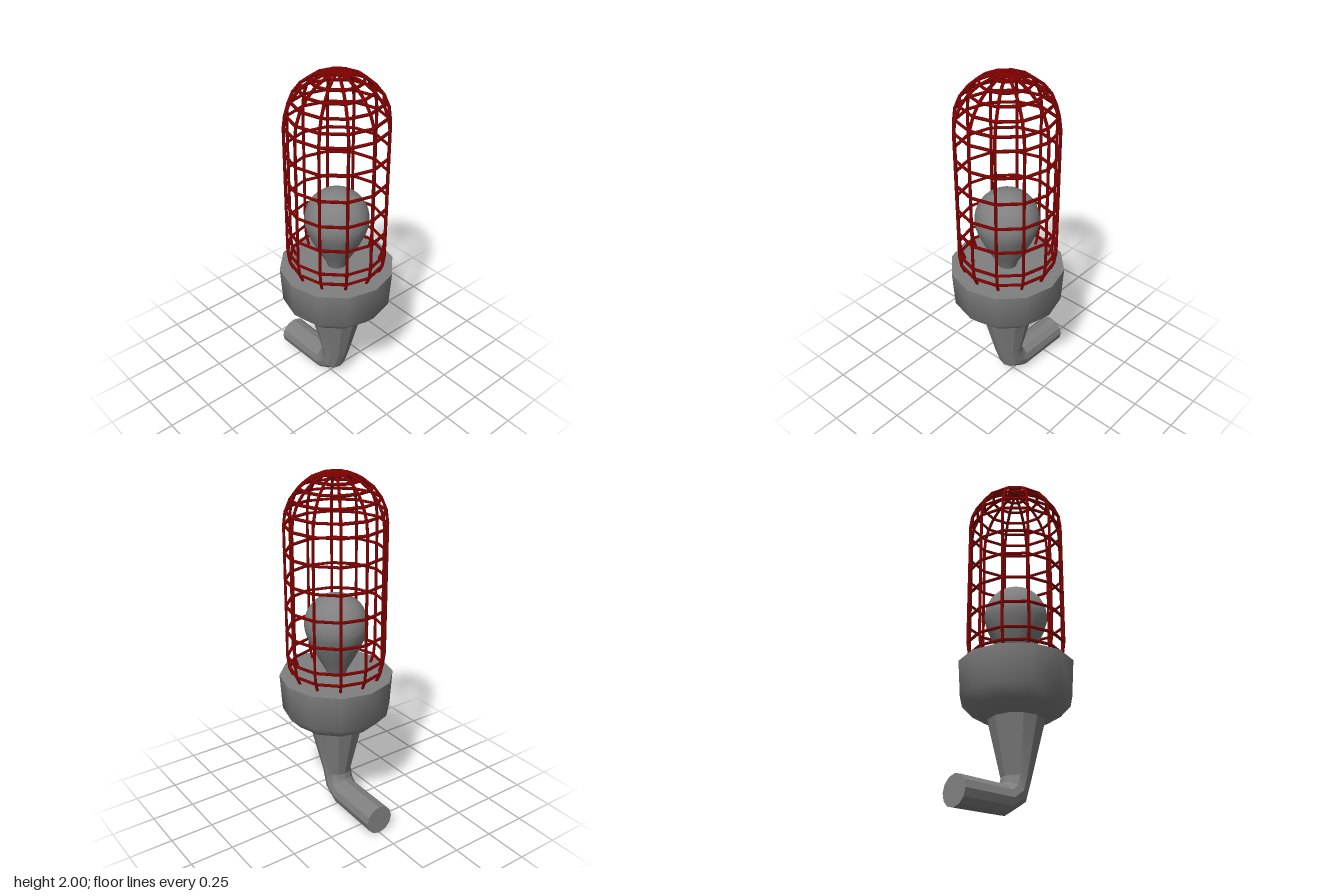
import * as THREE from 'three';
import { mergeGeometries, toCreasedNormals } from 'three/addons/utils/BufferGeometryUtils.js';

const SIDES = 12;
const grey = new THREE.MeshStandardMaterial({ color: 0x808080 });
const red = new THREE.MeshStandardMaterial({ color: 0x800000 });

function addMesh(parent, name, geometry, material = grey) {
  const mesh = new THREE.Mesh(geometry, material);
  mesh.name = name;
  parent.add(mesh);
}

function lathe(profile, segments) {
  return new THREE.LatheGeometry(profile.map(([r, y]) => new THREE.Vector2(r, y)), segments);
}

// Bent, faceted arm skinned over rings, each given by its inner and outer point in the xy plane
function armGeometry(rings) {
  const pos = [], index = [];
  for (const [ix, iy, ox, oy] of rings) {
    const cx = (ix + ox) / 2, cy = (iy + oy) / 2;
    const depth = Math.max(0.083, Math.hypot(ox - ix, oy - iy) / 2);
    for (let j = 0; j < SIDES; j++) {
      const a = (j / SIDES) * Math.PI * 2;
      pos.push(cx + Math.cos(a) * (ox - cx), cy + Math.cos(a) * (oy - cy), -Math.sin(a) * depth);
    }
  }
  const centre = pos.length / 3;
  pos.push((rings[0][0] + rings[0][2]) / 2, (rings[0][1] + rings[0][3]) / 2, 0);
  for (let j = 0; j < SIDES; j++) {
    const k = (j + 1) % SIDES;
    index.push(centre, k, j);
    for (let i = 0; i < rings.length - 1; i++) {
      const a = i * SIDES, b = a + SIDES;
      index.push(a + j, a + k, b + j, a + k, b + k, b + j);
    }
  }
  const g = new THREE.BufferGeometry();
  g.setAttribute('position', new THREE.Float32BufferAttribute(pos, 3));
  g.setIndex(index);
  return toCreasedNormals(g, 0.35);
}

// Straight wire between two points
function wire(a, b) {
  const d = b.clone().sub(a);
  const g = new THREE.CylinderGeometry(0.0085, 0.0085, d.length() + 0.004, 6);
  g.applyQuaternion(new THREE.Quaternion().setFromUnitVectors(new THREE.Vector3(0, 1, 0), d.normalize()));
  const m = a.clone().add(b).multiplyScalar(0.5);
  return g.translate(m.x, m.y, m.z);
}

// Capsule-shaped wire cage: straight bars crossed by twelve-sided hoops
function cageGeometry() {
  const R = 0.274, low = 0.97, high = 1.718, step = Math.PI / 12;
  const levels = [];
  for (let i = 2; i > 0; i--) levels.push([R * Math.cos(i * step), low - R * Math.sin(i * step)]);
  for (let i = 0; i <= 5; i++) levels.push([R, low + ((high - low) * i) / 5]);
  for (let i = 1; i <= 6; i++) levels.push([R * Math.cos(i * step), high + R * Math.sin(i * step)]);

  const at = ([r, y], j) => {
    const a = (j / SIDES) * Math.PI * 2;
    return new THREE.Vector3(r * Math.cos(a), y, r * Math.sin(a));
  };
  const wires = [];
  for (let i = 0; i < levels.length - 1; i++) {
    for (let j = 0; j < SIDES; j++) {
      wires.push(wire(at(levels[i], j), at(levels[i], j + 1)));
      wires.push(wire(at(levels[i], j), at(levels[i + 1], j)));
    }
  }
  return mergeGeometries(wires);
}

export function createModel() {
  const model = new THREE.Group();
  model.name = 'cagedLamp';

  // Wall arm: horizontal pipe, elbow and flared neck
  addMesh(model, 'arm', armGeometry([
    [-0.367, 0.171, -0.373, 0.002],
    [-0.05, 0.173, -0.035, 0.014],
    [-0.041, 0.187, 0.085, 0.09],
    [-0.035, 0.22, 0.13, 0.22],
    [-0.108, 0.535, 0.208, 0.535],
  ]));

  const head = new THREE.Group();
  head.name = 'head';
  head.position.x = 0.05;
  model.add(head);

  // Socket housing with a closed flat top
  addMesh(head, 'housing', toCreasedNormals(lathe([
    [0, 0.525], [0.155, 0.53], [0.25, 0.58], [0.31, 0.645], [0.323, 0.853], [0, 0.853],
  ], SIDES), 1.1));

  // Bulb: tapered stem running into a round top
  const bulb = [[0.05, 0.84], [0.062, 0.88], [0.098, 0.945], [0.135, 1.015], [0.163, 1.08]];
  for (let i = 0; i <= 12; i++) {
    const a = -0.17 + (i / 12) * (Math.PI / 2 + 0.17);
    bulb.push([Math.max(0, 0.178 * Math.cos(a)), 1.152 + 0.178 * Math.sin(a)]);
  }
  addMesh(head, 'bulb', lathe(bulb, 32));

  addMesh(head, 'cage', cageGeometry(), red);
  return model;
}
